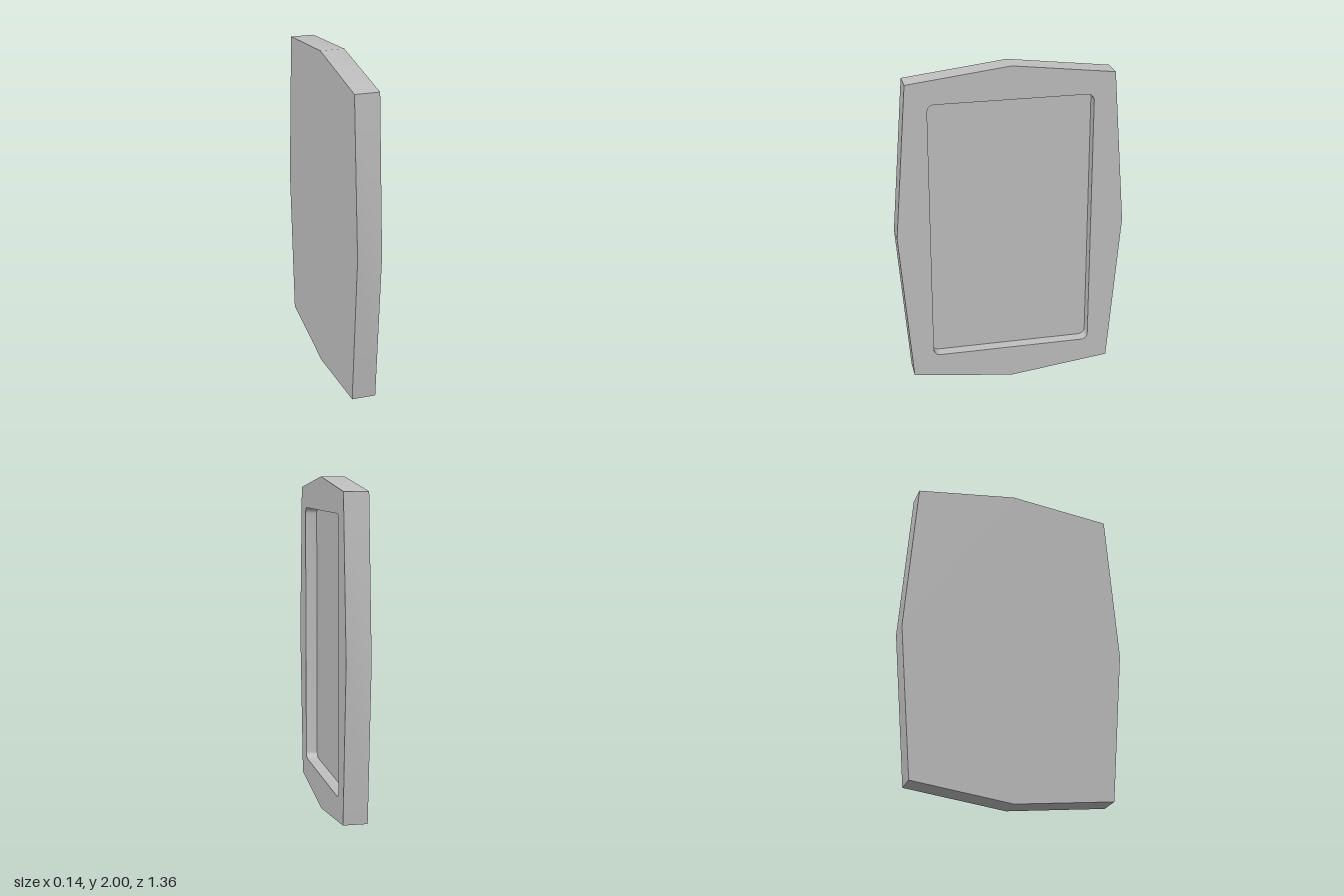
import * as THREE from 'three';
import { mergeGeometries, toCreasedNormals } from 'three/addons/utils/BufferGeometryUtils.js';

const HALF = 0.071; // half thickness
const FLOOR = 0; // level of the recess floor

// Eight-sided outline, drawn in XY and later turned to face +x
function outlinePoints() {
  return [[0, 0], [0.608, 0.075], [0.682, 1], [0.608, 1.927], [0, 2], [-0.608, 1.927], [-0.682, 1], [-0.608, 0.075]]
    .map(([x, y]) => new THREE.Vector2(x, y));
}

// Rounded rectangle of the recess, counter-clockwise
function recessPoints(w = 0.485, y0 = 0.2, y1 = 1.803, r = 0.04, steps = 6) {
  const centres = [[w - r, y1 - r], [r - w, y1 - r], [r - w, y0 + r], [w - r, y0 + r]];
  return centres.flatMap(([cx, cy], corner) =>
    Array.from({ length: steps + 1 }, (_, i) => {
      const a = (corner + i / steps) * Math.PI / 2;
      return new THREE.Vector2(cx + r * Math.cos(a), cy + r * Math.sin(a));
    }));
}

// Strip of walls along a closed loop; a reversed loop faces inward
function walls(points, z0, z1) {
  const pos = [];
  points.forEach((a, i) => {
    const b = points[(i + 1) % points.length];
    pos.push(a.x, a.y, z0, b.x, b.y, z0, b.x, b.y, z1);
    pos.push(a.x, a.y, z0, b.x, b.y, z1, a.x, a.y, z1);
  });
  const geo = new THREE.BufferGeometry();
  geo.setAttribute('position', new THREE.Float32BufferAttribute(pos, 3));
  geo.computeVertexNormals();
  return toCreasedNormals(geo, 0.4);
}

// Flat face of a shape at a given depth
function face(shape, z, back = false) {
  const geo = new THREE.ShapeGeometry(shape).toNonIndexed();
  geo.deleteAttribute('uv');
  if (back) geo.rotateY(Math.PI);
  return geo.translate(0, 0, z);
}

export function createModel() {
  const group = new THREE.Group();
  group.name = 'recessedPanel';
  const grey = new THREE.MeshStandardMaterial({ color: 0xc0c0c0 });
  grey.name = 'light grey';

  const add = (name, geo) => {
    const mesh = new THREE.Mesh(geo.rotateY(Math.PI / 2), grey);
    mesh.name = name;
    group.add(mesh);
  };

  const outline = outlinePoints();
  const recess = recessPoints();
  const rim = new THREE.Shape(outline);
  rim.holes.push(new THREE.Path(recess));

  // Outer body: edge walls, rim around the recess and plain back
  add('body', mergeGeometries([
    walls(outline, -HALF, HALF),
    face(rim, HALF),
    face(new THREE.Shape(outline), -HALF, true),
  ]));

  // Sunken tray: inward walls and floor
  add('recess', mergeGeometries([
    walls([...recess].reverse(), FLOOR, HALF),
    face(new THREE.Shape(recess), FLOOR),
  ]));

  return group;
}
